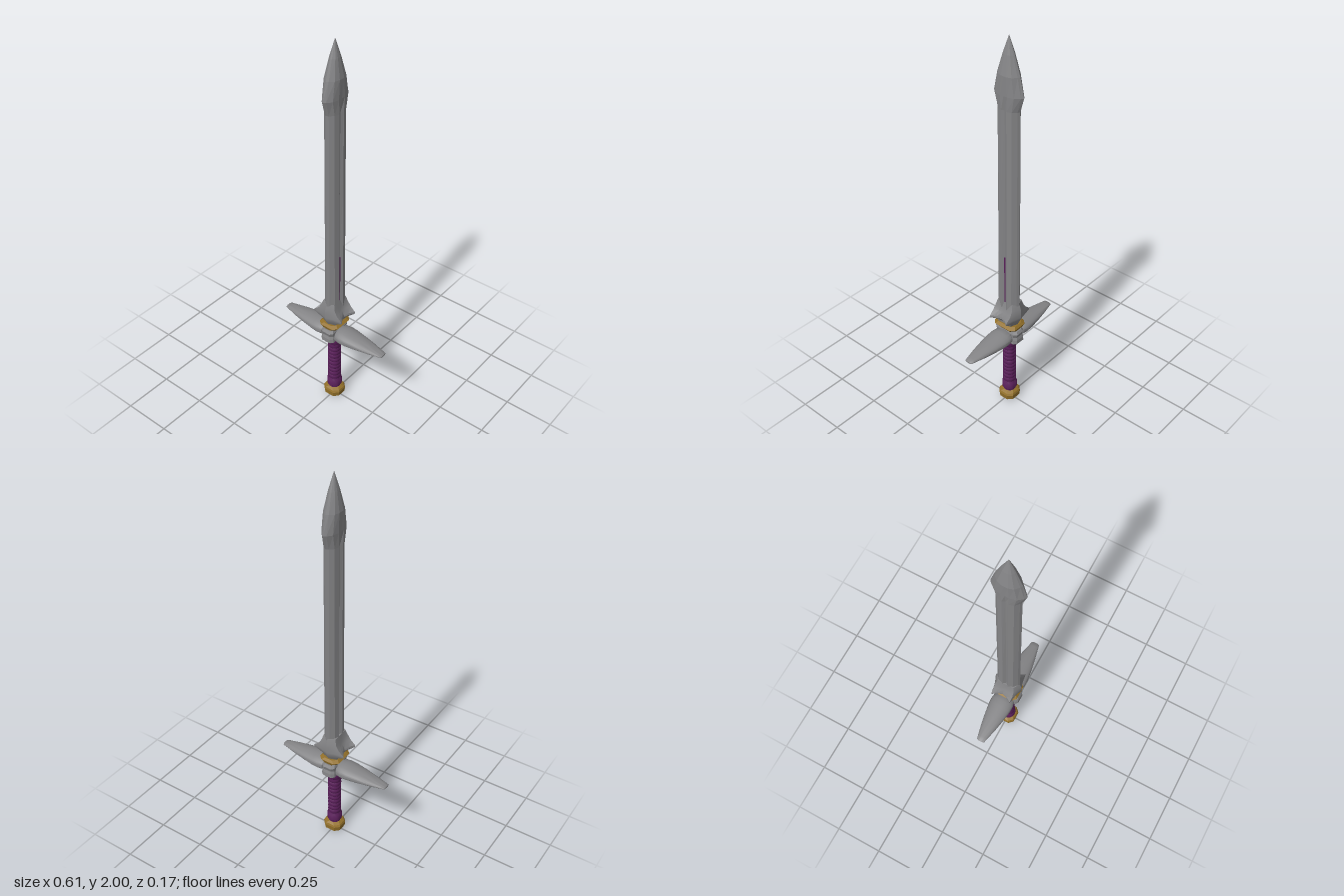
import * as THREE from 'three';
import { toCreasedNormals } from 'three/addons/utils/BufferGeometryUtils.js';

// Joins stacked rings of [x, z] points into a closed solid; crease 0 gives flat faces
function loft(sections, crease = 0) {
  const n = sections[0].ring.length, pos = [], idx = [];
  for (const { y, ring } of sections) for (const [x, z] of ring) pos.push(x, y, z);
  for (let s = 0; s < sections.length - 1; s++)
    for (let i = 0; i < n; i++) {
      const a = s * n + i, b = s * n + (i + 1) % n;
      idx.push(a, a + n, b, b, a + n, b + n);
    }
  // end caps fan out from a centre point
  const last = (sections.length - 1) * n, c = pos.length / 3;
  pos.push(0, sections[0].y, 0, 0, sections[sections.length - 1].y, 0);
  for (let i = 0; i < n; i++) {
    const j = (i + 1) % n;
    idx.push(c, i, j, c + 1, last + j, last + i);
  }
  const g = new THREE.BufferGeometry();
  g.setAttribute('position', new THREE.Float32BufferAttribute(pos, 3));
  g.setIndex(idx);
  return toCreasedNormals(g, crease);
}

// Mirrors a quarter outline, listed from the x axis to the z axis
function mirrorQuarter(q) {
  const half = [...q, ...q.slice(0, -1).reverse().map(([x, z]) => [-x, z])];
  return [...half, ...half.slice(1, -1).reverse().map(([x, z]) => [x, -z])];
}

// Blade outline: central fuller, two ridges, bevels to a sharp edge
const bladeRing = (w, d, groove) => mirrorQuarter([
  [w * (1 - groove), 0], [w, d * 0.24], [w * 0.8, d * 0.62], [w * 0.3, d * 0.9], [0, d],
]);

const ellipse = (a, b, n = 24) => Array.from({ length: n }, (_, i) => {
  const t = (i / n) * Math.PI * 2;
  return [a * Math.cos(t), b * Math.sin(t)];
});

// Rectangle with cut corners
const octagon = (w, d, c) => mirrorQuarter([[w, 0], [w, d - c], [w - c, d], [0, d]]);

// Star outline with four corner horns
const star = (w, d, horn) => mirrorQuarter([
  [w, 0], [w + horn * 0.35, d * 0.35], [w + horn, d * 0.72], [w * 0.6, d * 0.84], [0, d],
]);

export function createModel() {
  const sword = new THREE.Group();
  sword.name = 'sword';
  const material = (name, color) => {
    const m = new THREE.MeshStandardMaterial({ color });
    m.name = name;
    return m;
  };
  const steel = material('steel', 0x858587);
  const gold = material('gold', 0x92702a);
  const purple = material('purple', 0x591f59);
  const add = (name, geometry, mat) => {
    const mesh = new THREE.Mesh(geometry, mat);
    mesh.name = name;
    sword.add(mesh);
    return mesh;
  };

  // Blade with a flared spear point
  const blade = add('blade', loft([
    [0.54, 0.045, 0.062, 0.1], [0.6, 0.039, 0.064, 0.3], [0.9, 0.037, 0.063, 0.3],
    [1.3, 0.036, 0.063, 0.25], [1.67, 0.036, 0.062, 0.2], [1.74, 0.037, 0.083, 0.02],
    [1.83, 0.037, 0.062, 0], [1.92, 0.021, 0.032, 0], [2, 0.001, 0.001, 0],
  ].map(([y, w, d, g]) => ({ y, ring: bladeRing(w, d, g) }))), steel);
  blade.position.x = 0.003;

  // Purple inlay in the fuller
  const inlay = add('fullerInlay', new THREE.BoxGeometry(0.004, 0.28, 0.009), purple);
  inlay.position.set(0.031, 0.76, 0.002);

  // Horned collar at the foot of the blade
  add('bladeCollar', loft([
    [0.49, 0.036, 0.045, 0], [0.515, 0.038, 0.058, 0.004], [0.545, 0.06, 0.072, 0.026],
    [0.556, 0.058, 0.073, 0.028], [0.58, 0.046, 0.074, 0.012], [0.605, 0.039, 0.072, 0.004],
    [0.635, 0.034, 0.062, 0],
  ].map(([y, w, d, h]) => ({ y, ring: star(w, d, h) })), 0.5), steel);

  // Gold collar
  add('goldCollar', loft([
    [0.462, 0.032, 0.05], [0.478, 0.042, 0.062], [0.492, 0.056, 0.066], [0.503, 0.042, 0.056],
  ].map(([y, w, d]) => ({ y, ring: octagon(w, d, 0.02) }))), gold);

  // Guard block, waisted at mid height
  add('guardBlock', loft([
    [0.39, 0.032, 0.062], [0.4, 0.038, 0.07], [0.42, 0.036, 0.069], [0.435, 0.034, 0.064],
    [0.455, 0.036, 0.07], [0.468, 0.03, 0.062],
  ].map(([y, w, d]) => ({ y, ring: octagon(w, d, 0.014) }))), steel);

  // Tapering guard arms
  const arm = loft([
    [0.03, 0.028, 0.04], [0.042, 0.035, 0.056], [0.07, 0.036, 0.061], [0.1, 0.033, 0.06],
    [0.16, 0.027, 0.051], [0.22, 0.019, 0.04], [0.28, 0.01, 0.026], [0.301, 0.006, 0.021],
    [0.304, 0.004, 0.015],
  ].map(([y, a, b]) => ({ y, ring: ellipse(a, b) })), 0.7);
  for (const [name, side] of [['leftGuardArm', 1], ['rightGuardArm', -1]]) {
    const mesh = add(name, arm, steel);
    mesh.rotation.z = -side * Math.PI / 2;
    mesh.position.y = 0.43;
  }

  // Wrapped grip with a swelling at each end
  const profile = [[0, 0.045], [0.031, 0.045], [0.031, 0.062], [0.038, 0.07], [0.038, 0.1], [0.032, 0.108]];
  for (let i = 0; i < 10; i++) {
    const y = 0.115 + i * 0.0235;
    profile.push([0.03, y], [0.0335, y + 0.006], [0.0335, y + 0.017]);
  }
  profile.push([0.032, 0.351], [0.037, 0.358], [0.037, 0.385], [0.032, 0.395], [0, 0.395]);
  add('grip', toCreasedNormals(new THREE.LatheGeometry(
    profile.map(([r, y]) => new THREE.Vector2(r, y)), 24), 0.7), purple);

  // Chamfered pommel
  add('pommel', loft([
    [0, 0.038, 0.036], [0.01, 0.047, 0.045], [0.036, 0.05, 0.047], [0.046, 0.046, 0.043],
    [0.055, 0.032, 0.031],
  ].map(([y, w, d]) => ({ y, ring: octagon(w, d, 0.022) }))), gold);

  return sword;
}
